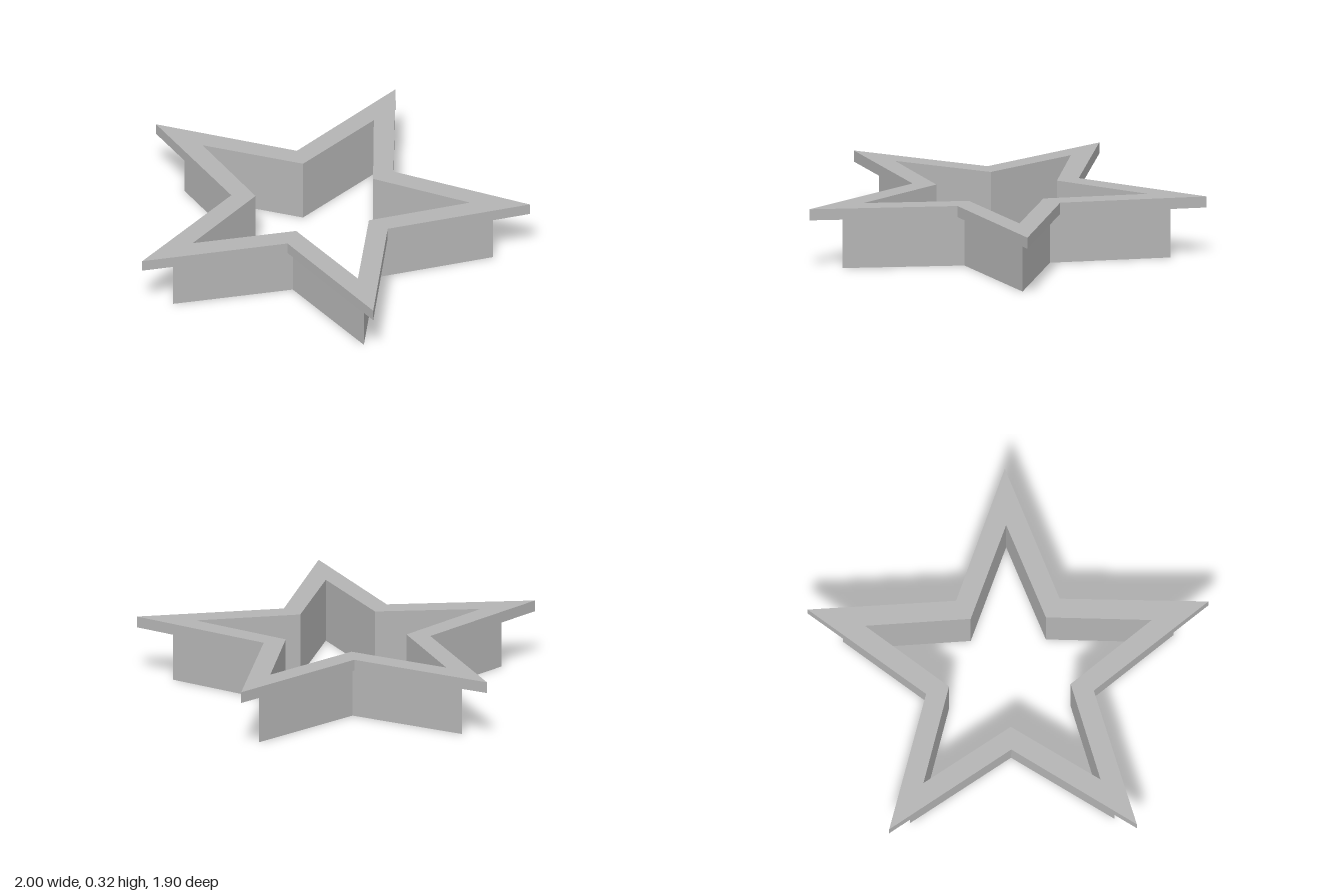
import * as THREE from 'three';

const CENTER_Z = 0.1;

// Five-pointed star outline with one tip pointing to the back
function starPoints(tipRadius, notchRadius) {
  const points = [];
  for (let i = 0; i < 10; i++) {
    const r = i % 2 ? notchRadius : tipRadius;
    const a = Math.PI / 2 + (i * Math.PI) / 5;
    points.push(new THREE.Vector2(r * Math.cos(a), r * Math.sin(a) - CENTER_Z));
  }
  return points;
}

// Upright star-shaped ring between two outlines
function starRing(name, outer, inner, bottom, height, material) {
  const shape = new THREE.Shape(starPoints(...outer));
  shape.holes.push(new THREE.Path(starPoints(...inner)));
  const geometry = new THREE.ExtrudeGeometry(shape, { depth: height, bevelEnabled: false });
  geometry.rotateX(-Math.PI / 2);
  geometry.translate(0, bottom, 0);
  const mesh = new THREE.Mesh(geometry, material);
  mesh.name = name;
  return mesh;
}

export function createModel() {
  const group = new THREE.Group();
  group.name = 'starCutter';
  const grey = new THREE.MeshStandardMaterial({ color: 0xb4b4b4 });
  grey.name = 'grey';

  const opening = [0.752, 0.319];
  // Thin cutting wall
  group.add(starRing('cutterWall', [0.868, 0.366], opening, 0, 0.265, grey));
  // Wider grip rim on top
  group.add(starRing('gripRim', [1.0515, 0.44], opening, 0.265, 0.057, grey));
  return group;
}
